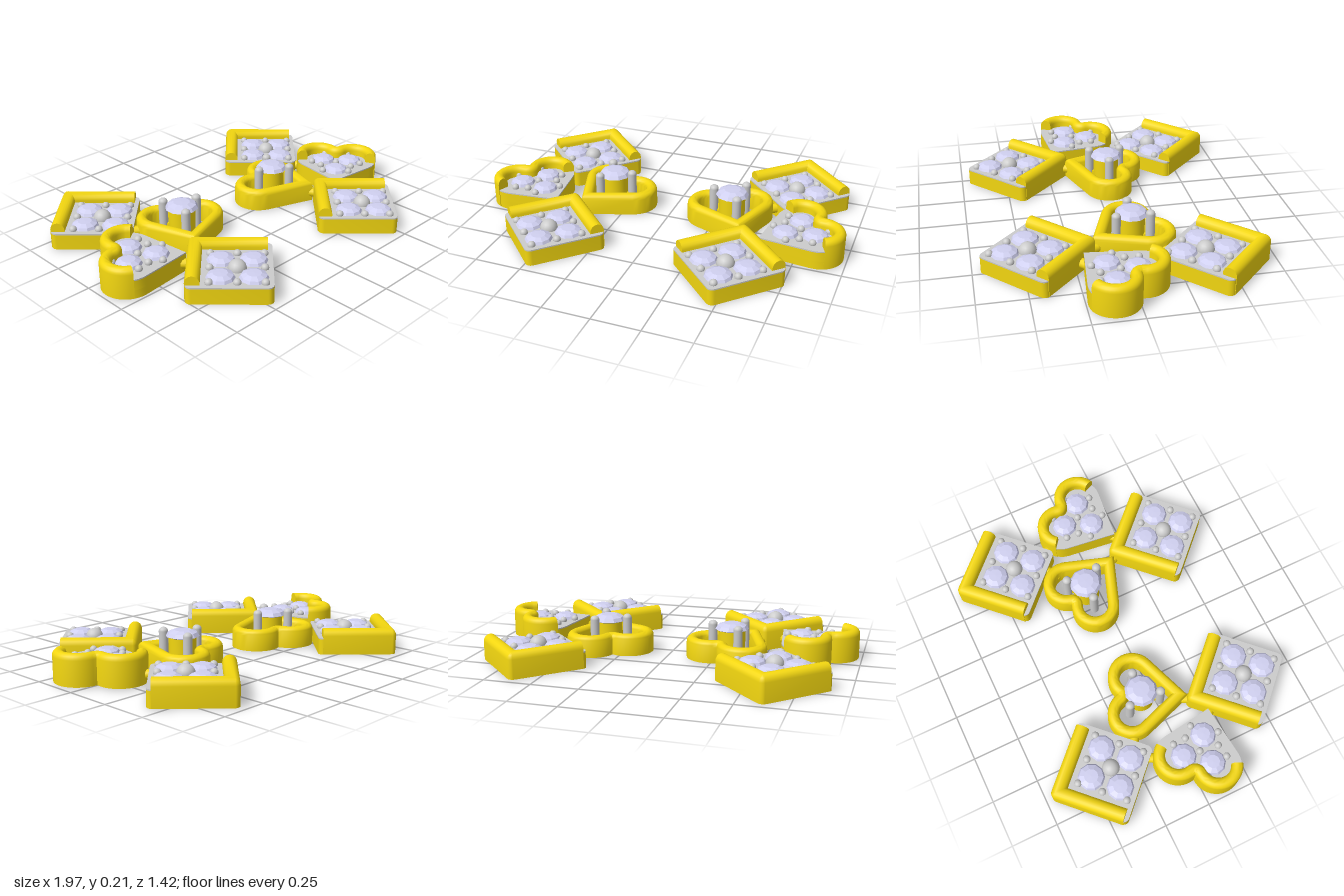
import * as THREE from 'three';
import { toCreasedNormals } from 'three/addons/utils/BufferGeometryUtils.js';

const gold = new THREE.MeshStandardMaterial({ color: 0xf2d610 });
const grey = new THREE.MeshStandardMaterial({ color: 0xcccccc });
const gemMat = new THREE.MeshStandardMaterial({ color: 0xd0d0f0, flatShading: true });

function add(parent, name, geometry, material, x = 0, y = 0, z = 0) {
  const mesh = new THREE.Mesh(geometry, material);
  mesh.name = name;
  mesh.position.set(x, y, z);
  parent.add(mesh);
  return mesh;
}

const arc = (cx, cy, r, a0, a1, n) => Array.from({ length: n + 1 }, (_, i) => {
  const a = a0 + (a1 - a0) * i / n;
  return new THREE.Vector2(cx + r * Math.cos(a), cy + r * Math.sin(a));
});

// Heart outline moved inward by o; tip at -y. With "from" only the lobes are traced.
function heart(o, from) {
  const r = 0.13, d = 0.102, h = 0.29;
  const phi = Math.atan2(-h, -d) + Math.acos(r / Math.hypot(d, h));
  const cleft = Math.sqrt(r * r - d * d), end = Math.PI - Math.acos(d / r);
  const right = arc(d, 0, r - o, from ?? phi, end, 18);
  const left = right.map(p => new THREE.Vector2(-p.x, p.y)).reverse();
  const notch = arc(0, cleft, o, end - Math.PI, -end, 8).slice(1, -1);
  const tip = new THREE.Vector2(0, -h - o / Math.sin(phi));
  return [...(from === undefined ? [tip] : []), ...right, ...notch, ...left];
}

// Two sides of a rounded square moved inward by o
const HALF = 0.21, CORNER = 0.03;
function twoSides(o) {
  const c = HALF - Math.max(CORNER, o);
  return [new THREE.Vector2(HALF - o, -HALF + 0.025),
    ...arc(c, c, Math.max(CORNER - o, 0.0005), 0, Math.PI / 2, 6),
    new THREE.Vector2(-HALF + 0.025, HALF - o)];
}

// Wall section with a round top: [inward offset, height]
function wallProfile(width, bottom, top) {
  const r = width / 2;
  return [[0, bottom], ...arc(r, top - r, r, Math.PI, 0, 10).map(p => [p.x, p.y]), [width, bottom]];
}

// Carry a wall section along an outline
function wall(outline, profile, closed) {
  const lines = profile.map(([o]) => outline(o));
  const n = lines[0].length, m = profile.length, pos = [], idx = [];
  for (let i = 0; i < n; i++)
    profile.forEach(([, y], j) => pos.push(lines[j][i].x, y, -lines[j][i].y));
  for (let i = 0; i < (closed ? n : n - 1); i++)
    for (let j = 0; j < m; j++) {
      const p = i * m, q = ((i + 1) % n) * m, k = (j + 1) % m;
      idx.push(p + j, q + j, q + k, p + j, q + k, p + k);
    }
  if (!closed)
    for (let k = 1, e = (n - 1) * m; k < m - 1; k++) idx.push(0, k, k + 1, e, e + k + 1, e + k);
  const g = new THREE.BufferGeometry();
  g.setAttribute('position', new THREE.Float32BufferAttribute(pos, 3));
  g.setIndex(idx);
  return toCreasedNormals(g, 0.7);
}

// Flat plate between two heights, with holes
function plate(points, y0, y1, holes = []) {
  const shape = new THREE.Shape(points);
  holes.forEach(h => shape.holes.push(new THREE.Path(h)));
  const g = new THREE.ExtrudeGeometry(shape, { depth: y1 - y0, bevelEnabled: false });
  return toCreasedNormals(g.rotateX(-Math.PI / 2).translate(0, y0, 0), 0.7);
}

// Faceted round stone
function stone(parent, r, x, y, z) {
  const pts = [[0, -0.04], [r, -0.005], [r * 0.86, 0.014], [r * 0.5, 0.026], [0, 0.027]];
  const g = new THREE.LatheGeometry(pts.map(p => new THREE.Vector2(...p)), 10);
  add(parent, 'stone', g, gemMat, x, y, z);
}

const bead = (parent, r, x, y, z) =>
  add(parent, r > 0.03 ? 'centreBead' : 'bead', new THREE.SphereGeometry(r, 16, 12), grey, x, y, z);

const hole = (x, z, r = 0.03) => arc(x, -z, r, 0, Math.PI * 2, 20).slice(1);

// Square tile: four stones in a bead grid, raised rim on two sides
function squareTile() {
  const g = new THREE.Group();
  g.name = 'squareTile';
  const c = HALF - CORNER - 0.002, off = 0.035, s = 0.079, step = 0.132;
  const outline = [0, 1, 2, 3].flatMap(k => {
    const a = k * Math.PI / 2, m = a + Math.PI / 4;
    return arc(c * Math.SQRT2 * Math.cos(m), c * Math.SQRT2 * Math.sin(m), CORNER, a, a + Math.PI / 2, 6);
  });
  const spots = [-s, s].flatMap(x => [-s, s].map(z => [x - off, z + off]));
  add(g, 'tileBody', plate(outline, 0, 0.083, spots.map(p => hole(...p))), gold);
  add(g, 'tileTop', plate(outline, 0.083, 0.09), grey);
  add(g, 'tileRim', wall(twoSides, wallProfile(0.072, 0.002, 0.138), false), gold);
  spots.forEach(([x, z]) => stone(g, 0.074, x, 0.09, z));
  for (let i = -1; i <= 1; i++)
    for (let j = -1; j <= 1; j++) {
      const mid = i === 0 && j === 0;
      bead(g, mid ? 0.046 : 0.02, i * step - off, mid ? 0.092 : 0.095, j * step + off);
    }
  g.rotation.y = Math.PI / 4;
  return g;
}

// Heart set with three stones, rim around the lobes only
function stoneHeart() {
  const g = new THREE.Group();
  g.name = 'stoneHeart';
  const body = heart(0.003), cz = 0.053;
  const angles = [0, 1, 2].map(k => Math.PI / 2 + k * Math.PI * 2 / 3);
  const at = (a, r) => [r * Math.cos(a), cz + r * Math.sin(a)];
  const spots = angles.map(a => at(a, 0.088));
  const hollow = angles.map(a => at(a, 0.155)).map(([x, z]) => new THREE.Vector2(x, -z));
  add(g, 'heartSkirt', plate(body, 0.005, 0.05, [hollow]), gold);
  add(g, 'heartBody', plate(body, 0.05, 0.1, spots.map(p => hole(p[0], p[1], 0.027))), gold);
  add(g, 'heartTop', plate(body, 0.1, 0.107), grey);
  add(g, 'heartRim', wall(o => heart(o, -0.25), wallProfile(0.06, 0.007, 0.167), false), gold);
  spots.forEach(([x, z]) => stone(g, 0.07, x, 0.108, z));
  angles.forEach(a => [-0.55, 0.55].forEach(t => {
    const [x, z] = at(a + t, 0.14);
    bead(g, 0.019, x, 0.114, z);
  }));
  bead(g, 0.019, 0, 0.114, cz);
  angles.forEach(a => {
    const [x, z] = at(a + Math.PI, 0.1);
    bead(g, 0.019, x, 0.114, z);
  });
  return g;
}

// Open heart band
function openHeart() {
  const g = new THREE.Group();
  g.name = 'openHeart';
  add(g, 'heartBand', wall(heart, wallProfile(0.06, 0.005, 0.12), true), gold);
  return g;
}

// Tall tubular seat with three prongs holding a single stone
function prongSetting(side) {
  const g = new THREE.Group();
  g.name = 'prongSetting';
  const seat = [[0.035, 0.02], [0.07, 0.02], [0.07, 0.165], [0.035, 0.165], [0.035, 0.02]];
  const lathe = new THREE.LatheGeometry(seat.map(p => new THREE.Vector2(...p)), 32);
  add(g, 'seat', toCreasedNormals(lathe, 0.7), gold);
  stone(g, 0.088, 0, 0.172, 0);
  for (let k = 0; k < 3; k++) {
    const a = Math.PI + k * Math.PI * 2 / 3;
    const x = side * 0.102 * Math.cos(a), z = 0.102 * Math.sin(a);
    add(g, 'prong', new THREE.CylinderGeometry(0.024, 0.024, 0.165, 16), grey, x, 0.1025, z);
    const cap = add(g, 'prongTip', new THREE.SphereGeometry(0.024, 16, 10), grey, x, 0.185, z);
    cap.scale.y = 0.85;
    const tie = add(g, 'prongTie', new THREE.BoxGeometry(0.06, 0.03, 0.02), gold, x * 0.8, 0.05, z * 0.8);
    tie.rotation.y = -Math.atan2(z, x);
  }
  return g;
}

// Short rod joining neighbouring parts
function link(parent, side, x0, z0, x1, z1) {
  const a = new THREE.Vector3(side * x0, 0.05, z0), b = new THREE.Vector3(side * x1, 0.05, z1);
  add(parent, 'link', new THREE.TubeGeometry(new THREE.LineCurve3(a, b), 1, 0.026, 12), gold);
  [a, b].forEach(p => add(parent, 'linkEnd', new THREE.SphereGeometry(0.026, 12, 8), gold, p.x, p.y, p.z));
}

export function createModel() {
  const model = new THREE.Group();
  model.name = 'earringPair';
  for (const side of [1, -1]) {
    const earring = new THREE.Group();
    earring.name = side > 0 ? 'leftEarring' : 'rightEarring';
    const place = (part, x, z, turn) => {
      part.position.set(side * x, 0, z);
      if (turn !== undefined) part.rotation.y = side * turn;
      earring.add(part);
    };
    place(squareTile(), 0.622, -0.43);
    place(squareTile(), 0.475, 0.425);
    place(stoneHeart(), 0.79, 0.035, -0.9);
    place(openHeart(), 0.32, -0.11, 0.45);
    place(prongSetting(side), 0.34, -0.07);
    link(earring, side, 0.64, -0.2, 0.68, -0.13);
    link(earring, side, 0.59, 0.2, 0.55, 0.24);
    link(earring, side, 0.5, -0.18, 0.57, -0.23);
    link(earring, side, 0.445, 0.13, 0.47, 0.18);
    model.add(earring);
  }
  return model;
}
